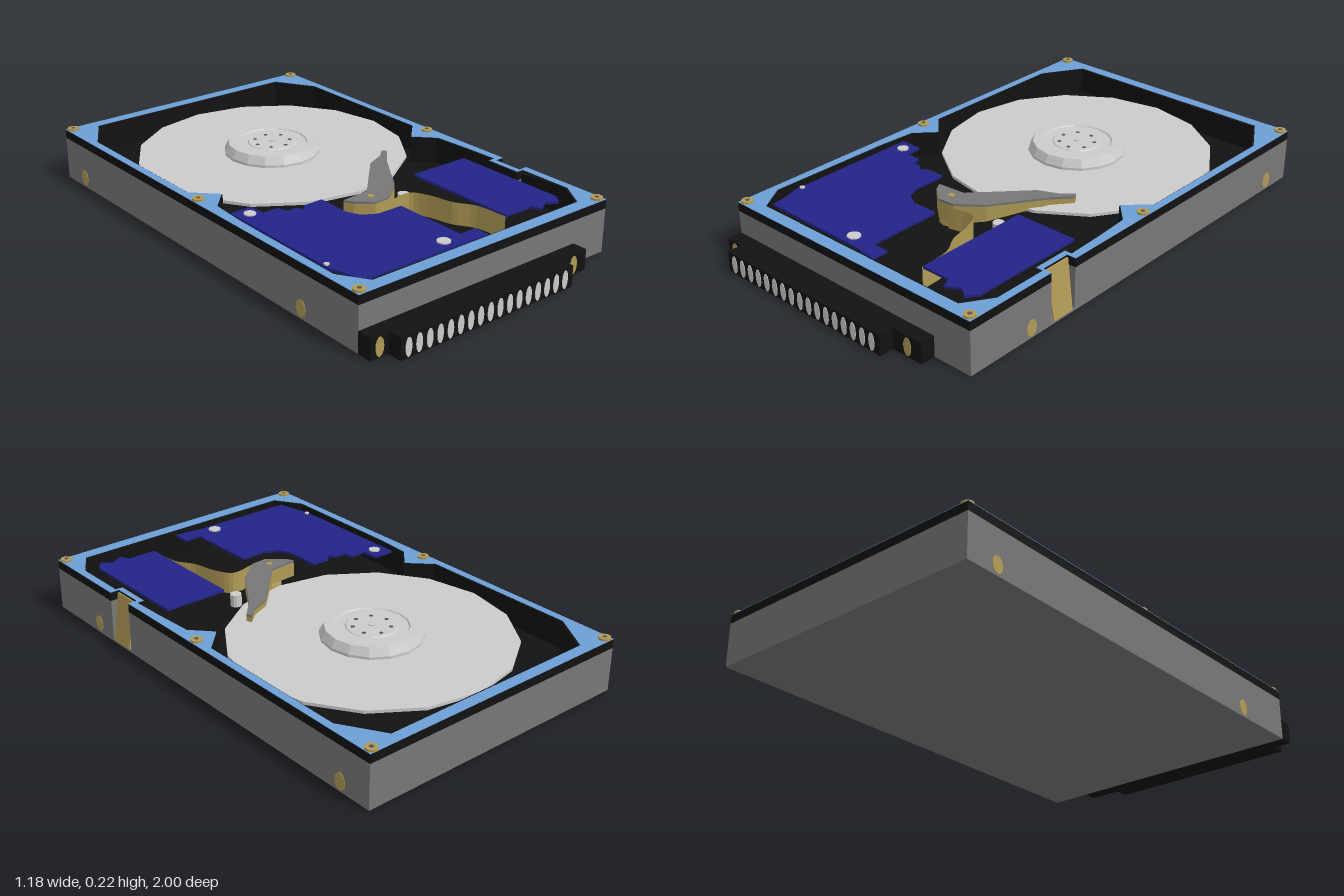
import * as THREE from 'three';

const mat = (color, side = THREE.FrontSide) =>
  new THREE.MeshStandardMaterial({ color, side, flatShading: true });
const grey = mat(0xcccccc), wall = mat(0x777777), black = mat(0x121212), dark = mat(0x555555);
const blue = mat(0x6c9fd6), board = mat(0x232388), gold = mat(0xb09a55), goldThin = mat(0xb09a55, THREE.DoubleSide);

// Outlines in (x, z)
const OUTLINE = [[-0.59, -1], [0.59, -1], [0.59, 0.36], [0.552, 0.36], [0.552, 0.485], [0.59, 0.485], [0.59, 0.88], [-0.59, 0.88]];
const CAVITY = [
  [-0.46, -0.955], [0.46, -0.955], [0.56, -0.79], [0.56, -0.13], [0.47, -0.04], [0.545, 0.04], [0.555, 0.2],
  [0.56, 0.345], [0.53, 0.345], [0.53, 0.495], [0.56, 0.495], [0.56, 0.72], [0.49, 0.83],
  [-0.49, 0.83], [-0.56, 0.72], [-0.555, 0.2], [-0.545, 0.04], [-0.47, -0.04], [-0.56, -0.13], [-0.56, -0.79]];
const LEFT_BOARD = [
  [-0.53, 0.1], [-0.44, 0.1], [-0.435, 0.17], [-0.37, 0.17], [-0.36, 0.21], [-0.32, 0.21], [-0.3, 0.235], [-0.28, 0.21],
  [-0.2, 0.21], [-0.2, 0.35], [-0.175, 0.405], [-0.12, 0.435], [-0.012, 0.435], [-0.012, 0.74], [0.06, 0.74],
  [0.06, 0.81], [-0.04, 0.795], [-0.5, 0.79], [-0.51, 0.72], [-0.53, 0.66]];
const RIGHT_BOARD = [[0.225, 0.245], [0.49, 0.245], [0.49, 0.73], [0.46, 0.77], [0.42, 0.74], [0.365, 0.77], [0.35, 0.73], [0.225, 0.73]];
const ARM = [
  [-0.15, 0.275], [-0.03, 0.265], [0.16, 0.065], [0.24, 0.03], [0.285, -0.01], [0.295, 0.01],
  [0.23, 0.08], [0.095, 0.28], [0, 0.355], [-0.07, 0.36], [-0.13, 0.31]];

const vectors = (pts) => pts.map(([x, z]) => new THREE.Vector2(x, z));

export function createModel() {
  const model = new THREE.Group();

  const add = (name, geometry, material, x = 0, y = 0, z = 0) => {
    const mesh = new THREE.Mesh(geometry, material);
    mesh.name = name;
    mesh.position.set(x, y, z);
    model.add(mesh);
    return mesh;
  };
  // Upright slab from a plan outline, between two heights
  const slab = (name, pts, bottom, top, material, hole) => {
    const shape = new THREE.Shape(vectors(pts));
    if (hole) shape.holes.push(new THREE.Path(vectors(hole)));
    const g = new THREE.ExtrudeGeometry(shape, { depth: top - bottom, bevelEnabled: false });
    g.rotateX(Math.PI / 2);
    return add(name, g, material, 0, top, 0);
  };
  const box = (name, x0, x1, y0, y1, z0, z1, material) =>
    add(name, new THREE.BoxGeometry(x1 - x0, y1 - y0, z1 - z0), material, (x0 + x1) / 2, (y0 + y1) / 2, (z0 + z1) / 2);
  const disc = (name, r, h, x, y, z, material, sides = 16) =>
    add(name, new THREE.CylinderGeometry(r, r, h, sides), material, x, y, z);

  // Case: base plate, walls, dark gasket band and painted rim
  box('basePlate', -0.59, 0.59, 0, 0.01, -1, 0.88, wall);
  slab('caseWalls', OUTLINE, 0.01, 0.175, wall, CAVITY);
  slab('gasketBand', OUTLINE, 0.175, 0.21, black, CAVITY);
  slab('topRim', OUTLINE, 0.21, 0.212, blue, CAVITY);
  const inset = CAVITY.map(([x, z]) => [x * 0.992, z * 0.992]);
  slab('cavityLining', CAVITY, 0.1, 0.209, black, inset);
  slab('cavityFloor', CAVITY, 0.09, 0.1, black);

  // Platter and hub
  disc('platter', 0.545, 0.012, 0, 0.164, -0.36, grey);
  disc('spindle', 0.17, 0.07, 0, 0.13, -0.36, grey);
  const hubProfile = [[0.195, 0.168], [0.195, 0.18], [0.178, 0.212], [0.142, 0.212], [0.138, 0.207],
    [0.1, 0.207], [0.096, 0.211], [0, 0.211]];
  add('hub', new THREE.LatheGeometry(vectors(hubProfile), 16), grey, 0, 0, -0.36);
  disc('hubPin', 0.013, 0.006, 0, 0.212, -0.36, grey, 8);
  for (let i = 0; i < 7; i++) {
    const a = (i / 7) * Math.PI * 2 + 0.2;
    disc('hubHole', 0.008, 0.002, Math.sin(a) * 0.072, 0.211, -0.36 + Math.cos(a) * 0.072, dark, 8);
  }

  // Read arm: dark top plate on a brass body, plus its pivot
  slab('armTop', ARM, 0.197, 0.206, wall);
  const armBody = slab('armBody', ARM, 0.12, 0.197, gold);
  const p = armBody.geometry.attributes.position;
  for (let i = 0; i < p.count; i++) {
    // The body gets thinner towards the tip
    const t = THREE.MathUtils.clamp((0.36 - p.getZ(i)) / 0.3, 0, 1);
    p.setY(i, p.getY(i) * (1 - 0.75 * t));
  }
  armBody.geometry.computeVertexNormals();
  disc('armPivot', 0.05, 0.03, -0.05, 0.11, 0.31, gold, 12);
  disc('armScrew', 0.013, 0.004, -0.05, 0.207, 0.31, gold, 8);

  // Flexible ribbon, a strip standing on its edge along a curve
  const path = new THREE.CatmullRomCurve3(
    [[-0.01, 0.37], [0.1, 0.355], [0.14, 0.42], [0.165, 0.52], [0.21, 0.6], [0.222, 0.73]]
      .map(([x, z]) => new THREE.Vector3(x, 0, z)));
  const ribbon = new THREE.PlaneGeometry(1, 0.09, 20, 1);
  const r = ribbon.attributes.position;
  for (let i = 0; i < r.count; i++) {
    const c = path.getPoint(r.getX(i) + 0.5);
    r.setXYZ(i, c.x, r.getY(i) + 0.15, c.z);
  }
  ribbon.computeVertexNormals();
  add('ribbonCable', ribbon, goldThin);

  // Circuit boards and their screws
  slab('leftBoard', LEFT_BOARD, 0.19, 0.2, board);
  slab('rightBoard', RIGHT_BOARD, 0.19, 0.2, board);
  for (const [x, z, radius] of [[-0.48, 0.15, 0.023], [-0.1, 0.75, 0.026], [-0.52, 0.635, 0.01]])
    disc('boardScrew', radius, 0.006, x, 0.202, z, grey, 12);
  disc('floorPost', 0.023, 0.05, 0.15, 0.125, 0.27, grey, 12);

  // Screws on the rim and round plugs on the sides
  for (const s of [-1, 1]) {
    for (const z of [-0.978, -0.05, 0.855]) {
      const screw = disc('rimScrew', 0.024, 0.01, s * 0.566, 0.215, z, gold, 8);
      screw.rotation.y = Math.PI / 8;
      disc('rimScrewSocket', 0.009, 0.002, s * 0.566, 0.22, z, dark, 6);
    }
    for (const z of [0.585, -0.86]) {
      const plug = disc('sidePlug', 1, 0.004, s * 0.59, 0.04, z, gold);
      plug.rotation.z = Math.PI / 2;
      plug.scale.set(0.033, 1, 0.025);
    }
  }

  // Slanted clip in the side notch, narrower and further out at the foot
  const clip = new THREE.BoxGeometry(0.006, 0.195, 0.115);
  const c = clip.attributes.position;
  for (let i = 0; i < c.count; i++)
    if (c.getY(i) < 0) c.setXYZ(i, c.getX(i) + 0.032, c.getY(i), c.getZ(i) * 0.85);
  clip.computeVertexNormals();
  add('sideClip', clip, gold, 0.558, 0.1075, 0.422);

  // Stepped connector with a row of contacts
  box('connectorBase', -0.59, 0.425, 0, 0.083, 0.88, 0.94, black);
  box('connectorNose', -0.515, 0.29, 0, 0.083, 0.94, 0.998, black);
  const oval = (name, x, z, rx, material) => {
    const mesh = disc(name, 1, 0.004, x, 0.04, z, material);
    mesh.rotation.x = Math.PI / 2;
    mesh.scale.set(rx, 1, 0.036);
  };
  for (let i = 0; i < 17; i++) oval('contact', -0.481 + i * 0.0457, 0.998, 0.014, grey);
  for (const x of [-0.552, 0.36]) oval('connectorPlug', x, 0.94, 0.018, gold);

  return model;
}
